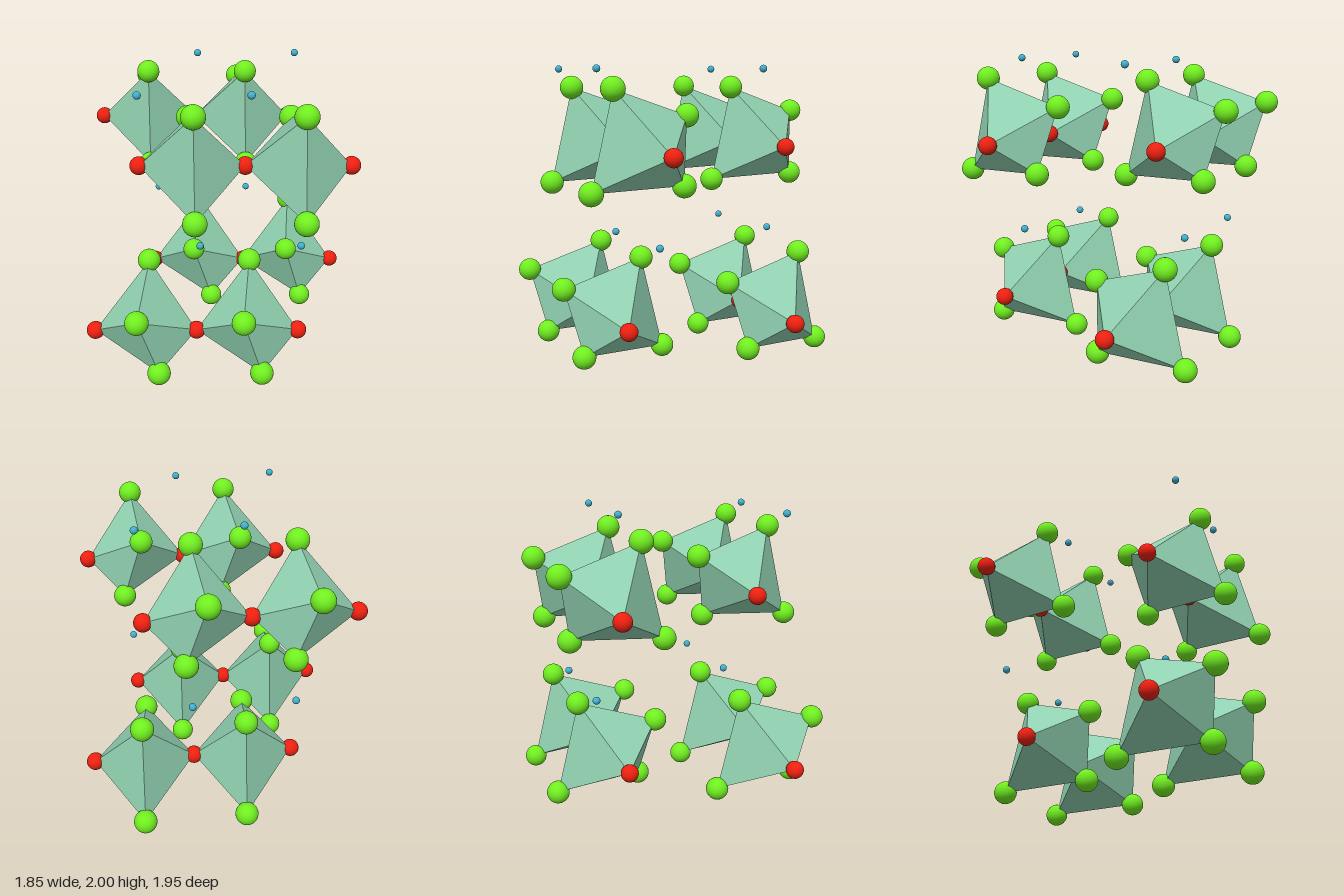
import * as THREE from 'three';
import { ConvexGeometry } from 'three/addons/geometries/ConvexGeometry.js';

const PITCH = 0.685; // spacing of octahedra along a chain

// Corners of one octahedron, measured from its left shared corner
const GREEN = [
  [0.36, 0.405, 0.245], // top
  [0.31, 0.232, -0.295], // upper back
  [0.367, -0.23, 0.4], // lower front
  [0.437, -0.207, -0.208], // lower back
];
const RED = [[0, 0, 0], [PITCH, 0, 0]];

// Chains: left corner position, z direction, x offset of the small ions
const CHAINS = [
  { name: 'upperFrontChain', at: [-0.53, 1.448, 0.452], dir: 1, ion: 0.025 },
  { name: 'upperBackChain', at: [-0.872, 1.448, -0.598], dir: 1, ion: 0.025 + PITCH },
  { name: 'lowerFrontChain', at: [-0.852, 0.312, 0.604], dir: -1, ion: 0.025 + PITCH },
  { name: 'lowerBackChain', at: [-0.51, 0.312, -0.446], dir: -1, ion: 0.025 },
];

export function createModel() {
  const model = new THREE.Group();
  model.name = 'crystalStructure';

  const mat = (color, flatShading = false) => new THREE.MeshStandardMaterial({ color, flatShading });
  const faceMat = mat(0x90d0b0, true);
  const ball = (radius, color) => ({ geo: new THREE.SphereGeometry(radius, 32, 20), mat: mat(color) });
  const green = ball(0.078, 0x70ee20);
  const red = ball(0.06, 0xee2010);
  const blue = ball(0.025, 0x40b0d0);

  function addBall(parent, kind, name, x, y, z) {
    const mesh = new THREE.Mesh(kind.geo, kind.mat);
    mesh.name = name;
    mesh.position.set(x, y, z);
    parent.add(mesh);
  }

  for (const { name, at, dir, ion } of CHAINS) {
    const chain = new THREE.Group();
    chain.name = name;
    chain.position.set(...at);

    // Solid octahedron; lower chains are mirrored in z
    const corners = [...RED, ...GREEN].map(([x, y, z]) => new THREE.Vector3(x, y, z * dir));
    const octahedron = new ConvexGeometry(corners);

    for (let i = 0; i < 2; i++) {
      const x0 = i * PITCH;
      const body = new THREE.Mesh(octahedron, faceMat);
      body.name = 'octahedron';
      body.position.x = x0;
      chain.add(body);
      for (const [x, y, z] of GREEN) addBall(chain, green, 'cornerAtom', x0 + x, y, z * dir);
      // Loose small ion above the chain
      addBall(chain, blue, 'smallIon', x0 + ion, 0.53, 0.21 * dir);
    }

    // Atoms shared between neighbours, plus the two chain ends
    for (let i = 0; i < 3; i++) addBall(chain, red, 'linkAtom', i * PITCH, 0, 0);
    model.add(chain);
  }
  return model;
}
